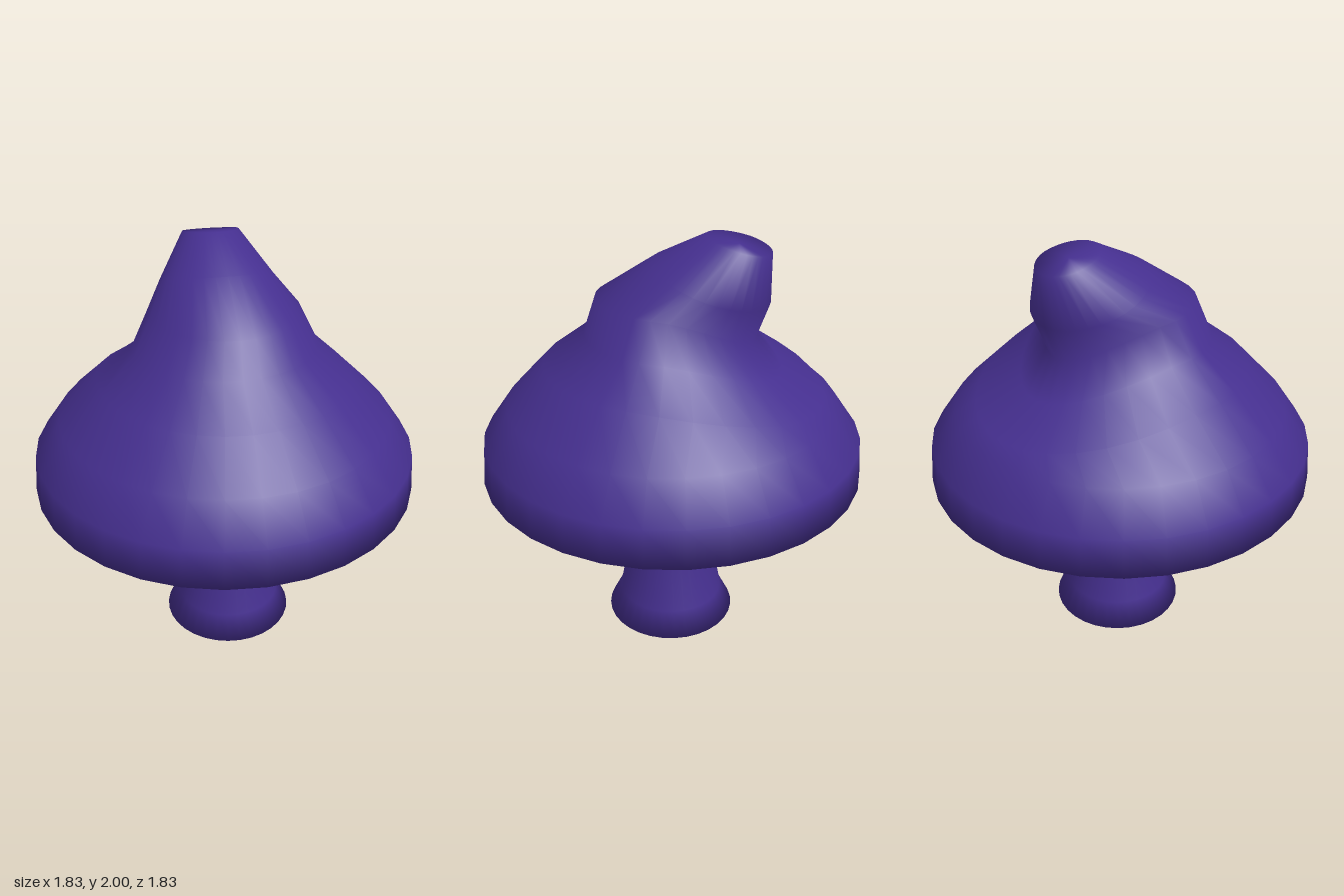
import * as THREE from 'three';

const SIDES = 32;

// Skin a list of rings. Each ring: yf/yb and zf/zb at its front and back,
// zc = z of its widest point, w = half width, pinch narrows its back half.
function loft(rings, closeBottom, closeTop) {
  const pos = [], index = [];
  const id = (i, j) => i * SIDES + (j % SIDES);
  for (const r of rings) {
    for (let j = 0; j < SIDES; j++) {
      const t = (j / SIDES) * Math.PI * 2;
      const c = Math.cos(t), s = Math.sin(t);
      const back = Math.max(0, -c);
      const z = c > 0 ? r.zc + (r.zf - r.zc) * c : r.zc + (r.zb - r.zc) * back;
      const y = r.tilt
        ? r.yf + (r.yb - r.yf) * (1 - c) / 2
        : r.yf + (r.yb - r.yf) * Math.pow(back, 1.6);
      pos.push(r.x + r.w * s * (1 - r.pinch * back), y, z);
    }
  }
  for (let i = 0; i < rings.length - 1; i++) {
    for (let j = 0; j < SIDES; j++) {
      const a = id(i, j), b = id(i, j + 1), c = id(i + 1, j), d = id(i + 1, j + 1);
      index.push(a, b, c, b, d, c);
    }
  }
  const fan = (i, up) => {
    const r = rings[i], centre = pos.length / 3;
    pos.push(r.x, (r.yf + r.yb) / 2, (r.zf + r.zb) / 2);
    for (let j = 0; j < SIDES; j++) {
      if (up) index.push(centre, id(i, j), id(i, j + 1));
      else index.push(centre, id(i, j + 1), id(i, j));
    }
  };
  if (closeBottom) fan(0, false);
  if (closeTop) fan(rings.length - 1, true);

  const g = new THREE.BufferGeometry();
  g.setAttribute('position', new THREE.Float32BufferAttribute(pos, 3));
  g.setIndex(index);
  g.computeVertexNormals();
  return g;
}

const round = (y, r, x = 0) =>
  ({ x, yf: y, yb: y, zf: r, zb: -r, zc: 0, w: r, pinch: 0 });
const bent = (w, yf, zf, yb, zb, zc, pinch = 0, tilt = false) =>
  ({ x: 0, w, yf, zf, yb, zb, zc, pinch, tilt });

export function createModel() {
  const group = new THREE.Group();
  const material = new THREE.MeshStandardMaterial({ color: 0x452f8f, side: THREE.DoubleSide });
  const add = (name, geometry) => {
    const mesh = new THREE.Mesh(geometry, material);
    mesh.name = name;
    group.add(mesh);
  };

  // Flared stalk, slightly off centre
  add('stem', loft([
    round(0, 0.32, 0.02),
    round(0.12, 0.26, 0.02),
    round(0.65, 0.16, 0.02),
    round(0.85, 0.24, 0.02),
    round(0.99, 0.3, 0.02),
  ], true, true));

  // Cap: shallow hollow underside, rim, dome, then a peak hooked to the back
  add('cap', loft([
    round(0.98, 0.28),
    round(0.85, 0.915),
    round(1.03, 0.9),
    round(1.2, 0.78),
    bent(0.59, 1.39, 0.6, 1.26, -0.72, 0),
    bent(0.43, 1.54, 0.4, 1.38, -0.52, 0, 0.2),
    bent(0.35, 1.7, 0.35, 1.53, -0.39, -0.02, 0.3),
    bent(0.26, 1.88, 0.08, 1.7, -0.45, -0.18, 0, true),
    bent(0.13, 2.0, -0.16, 1.93, -0.45, -0.32, 0, true),
  ], false, true));

  return group;
}
